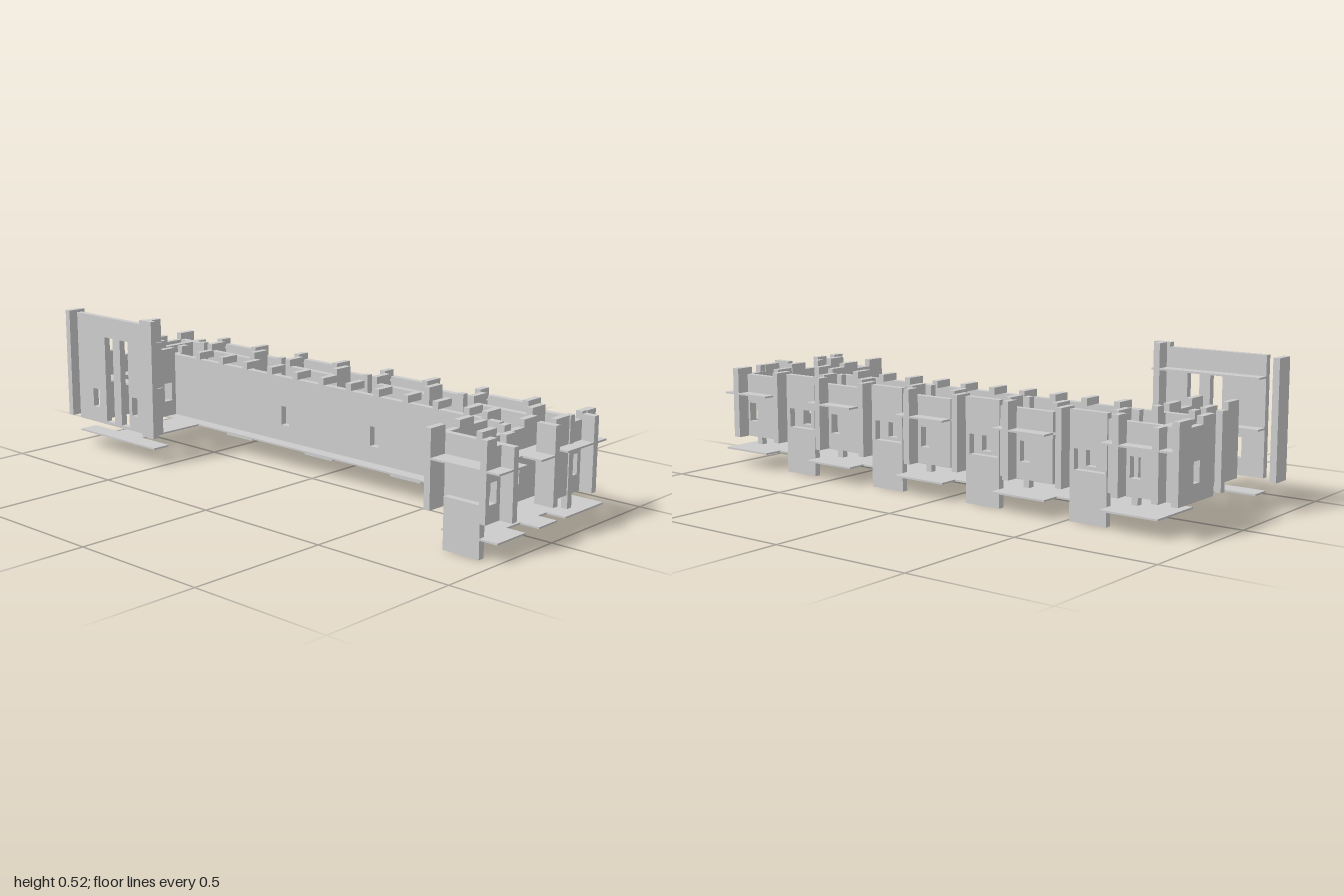
import * as THREE from 'three';

export function createModel() {
  const root = new THREE.Group();
  const mat = new THREE.MeshStandardMaterial({ color: 0xcccccc, flatShading: true });
  const M = 0.069, T = 0.023; // grid module and wall thickness
  const SILL = 0.167, HEAD = 0.235, BASE = 0.11, TOP = 0.34, CREST = 0.365;

  function add(name, geo) {
    const mesh = new THREE.Mesh(geo, mat);
    mesh.name = name;
    root.add(mesh);
    return mesh;
  }
  function box(name, x0, x1, y0, y1, z0, z1) {
    const mesh = add(name, new THREE.BoxGeometry(x1 - x0, y1 - y0, z1 - z0));
    mesh.position.set((x0 + x1) / 2, (y0 + y1) / 2, (z0 + z1) / 2);
  }
  const floor = (x0, x1, z0, z1) => box('floorPlate', x0, x1, 0.06, 0.066, z0, z1);
  const ledge = (x0, x1, z0, z1, y = 0.268) => box('ledge', x0, x1, y, y + 0.006, z0, z1);

  // Wall running along x or z; holes are [from, to, bottom, top], dips are lowered parts of the crest
  function wall(name, axis, a0, a1, y0, y1, pos, holes = [], dips = []) {
    const s = new THREE.Shape();
    s.moveTo(a0, y0);
    s.lineTo(a1, y0);
    s.lineTo(a1, y1);
    for (const [d0, d1] of dips.slice().reverse()) {
      s.lineTo(d1, y1);
      s.lineTo(d1, TOP);
      s.lineTo(d0, TOP);
      s.lineTo(d0, y1);
    }
    s.lineTo(a0, y1);
    s.closePath();
    for (const [h0, h1, b = SILL, t = HEAD] of holes) {
      const h = new THREE.Path();
      h.moveTo(h0, b);
      h.lineTo(h0, t);
      h.lineTo(h1, t);
      h.lineTo(h1, b);
      h.closePath();
      s.holes.push(h);
    }
    const geo = new THREE.ExtrudeGeometry(s, { depth: T, bevelEnabled: false });
    if (axis === 'z') geo.rotateY(-Math.PI / 2).translate(pos + T, 0, 0);
    else geo.translate(0, 0, pos);
    add(name, geo);
  }

  // Floor plates of the long hall, the front block and the rear wing
  floor(M, 0.208, -0.862, 0.793);
  floor(-0.277, 0.277, 0.793, 0.931);
  floor(-0.277, -0.139, 0.931, 1);
  floor(-M, T, 0.931, 1);
  floor(M, 0.277, 0.931, 1);
  floor(-0.208, M, -0.8, -0.66);
  floor(-0.277, -0.208, -0.93, -0.515);

  // Five projecting bays along the +x side
  for (let i = 0; i < 5; i++) {
    const z0 = -0.862 + i * 0.414, z1 = z0 + 0.207;
    if (i < 4) floor(0.208, 0.277, z0, z1);
    else floor(0.208, 0.277, 0.931, 0.932);
    wall('bayWall', 'z', i ? z0 : -0.925, i < 4 ? z1 : 0.954, BASE, TOP, 0.208, [[z0 + 0.09, z0 + 0.128]]);
    ledge(0.231, 0.277, i ? z0 : -0.925, z1);
    box('bayFin', 0.231, 0.277, BASE, CREST, z0 + 0.141, z0 + 0.164);
    box('bayPost', 0.139, 0.162, 0.066, CREST, z0 + 0.141, z0 + 0.164);
  }

  // Four recesses between the bays, each with a screen that reaches the ground
  for (let i = 0; i < 4; i++) {
    const z0 = -0.655 + i * 0.414, z1 = z0 + 0.207;
    wall('recessWall', 'z', z0, z1, BASE, TOP, 0.139, [[z0 + 0.09, z0 + 0.128]]);
    ledge(0.162, 0.231, z0, z1);
    wall('groundScreen', 'z', z0 + 0.004, z0 + 0.142, 0, 0.357, 0.208, [[z0 + 0.01, z0 + 0.126]]);
    box('recessFin', 0.208, 0.277, BASE, CREST, z0 + 0.142, z0 + 0.165);
    box('recessReturn', 0.139, 0.208, BASE, CREST, z0 - T, z0);
    box('recessReturn', 0.139, 0.208, BASE, CREST, z1, z1 + T);
  }

  // Long wall on the -x side with blocks along its crest
  wall('longWall', 'z', -0.71, 0.793, BASE, TOP, 0,
    [-0.13, 0.285, 0.7].map(z => [z - 0.019, z + 0.019]));
  for (let i = 0; i < 11; i++) {
    const z = -0.58 + i * 0.1245;
    box('crestBlock', 0, M, TOP, CREST, z - T / 2, z + T / 2);
  }

  // Front block
  wall('frontWall', 'x', -0.277, -0.139, BASE, CREST, 0.931, [[-0.26, -0.225]], [[-0.23, -0.185]]);
  wall('frontWall', 'x', M, 0.277, BASE, CREST, 0.931, [[0.155, 0.191]], [[0.139, 0.208]]);
  wall('frontRecessWall', 'x', -0.208, M, BASE, CREST, 0.862, [[-0.054, -0.018]], [[-0.139, -0.1], [-M, 0]]);
  ledge(-0.277, -0.139, 0.954, 1);
  ledge(M, 0.277, 0.954, 1);
  ledge(-0.139, M, 0.885, 0.931);
  ledge(-M, T, 0.931, 1);
  box('frontFin', 0, T, BASE, CREST, 0.931, 1);
  box('frontFin', 0.208, 0.231, BASE, 0.357, 0.954, 1);
  box('frontFin', -0.208, -0.185, BASE, TOP, 0.954, 1);

  // Rear and side walls of the front block
  wall('frontBlockRearWall', 'x', -0.277, M, BASE, CREST, 0.724, [[-0.054, -0.018]],
    [[-0.208, -0.139], [-M, 0]]);
  wall('frontBlockSideWall', 'z', 0.747, 0.931, BASE, TOP, -0.208, [[0.885, 0.922]]);
  ledge(-0.277, -0.208, 0.747, 0.931);
  box('sideScreen', -0.277, -0.254, 0, SILL, 0.8, 0.935);

  // Rear wing
  wall('rearWall', 'x', M, 0.277, BASE, CREST, -0.931, [[0.155, 0.191]], [[0.139, 0.208]]);
  wall('rearWall', 'x', -0.208, M, BASE, CREST, -0.862, [[-0.054, -0.018]], [[-0.139, -M], [0, 0.035]]);
  wall('rearWingInnerWall', 'x', -0.208, M, BASE, CREST, -0.731, [[-0.054, -0.018]], [[-0.139, -M], [0, 0.035]]);
  box('rearFin', 0, T, BASE, CREST, -0.931, -0.908);
  box('rearReturn', 0, T, BASE, TOP, -0.839, -0.731);
  box('rearCrossWall', M, 0.277, BASE, TOP, -0.862, -0.839);
  ledge(-0.208, M, -0.839, -0.795);

  // Tall end wall with two high openings, its ledges and flanking posts
  wall('tallWall', 'z', -0.931, -0.577, BASE, 0.508, -0.277, [
    [-0.85, -0.815], [-0.775, -0.73, 0.12, 0.435], [-0.69, -0.645, 0.12, 0.435], [-0.63, -0.6]]);
  ledge(-0.254, -0.208, -0.931, -0.535, 0.434);
  ledge(-0.254, -0.208, -0.931, -0.535);
  box('tallPost', -0.277, -0.254, 0.1, 0.523, -0.577, -0.515);
  box('tallPostFin', -0.254, -0.208, 0.1, 0.523, -0.565, -0.542);
  box('endPost', -0.277, -0.208, BASE, 0.508, -1, -0.977);

  return root;
}
